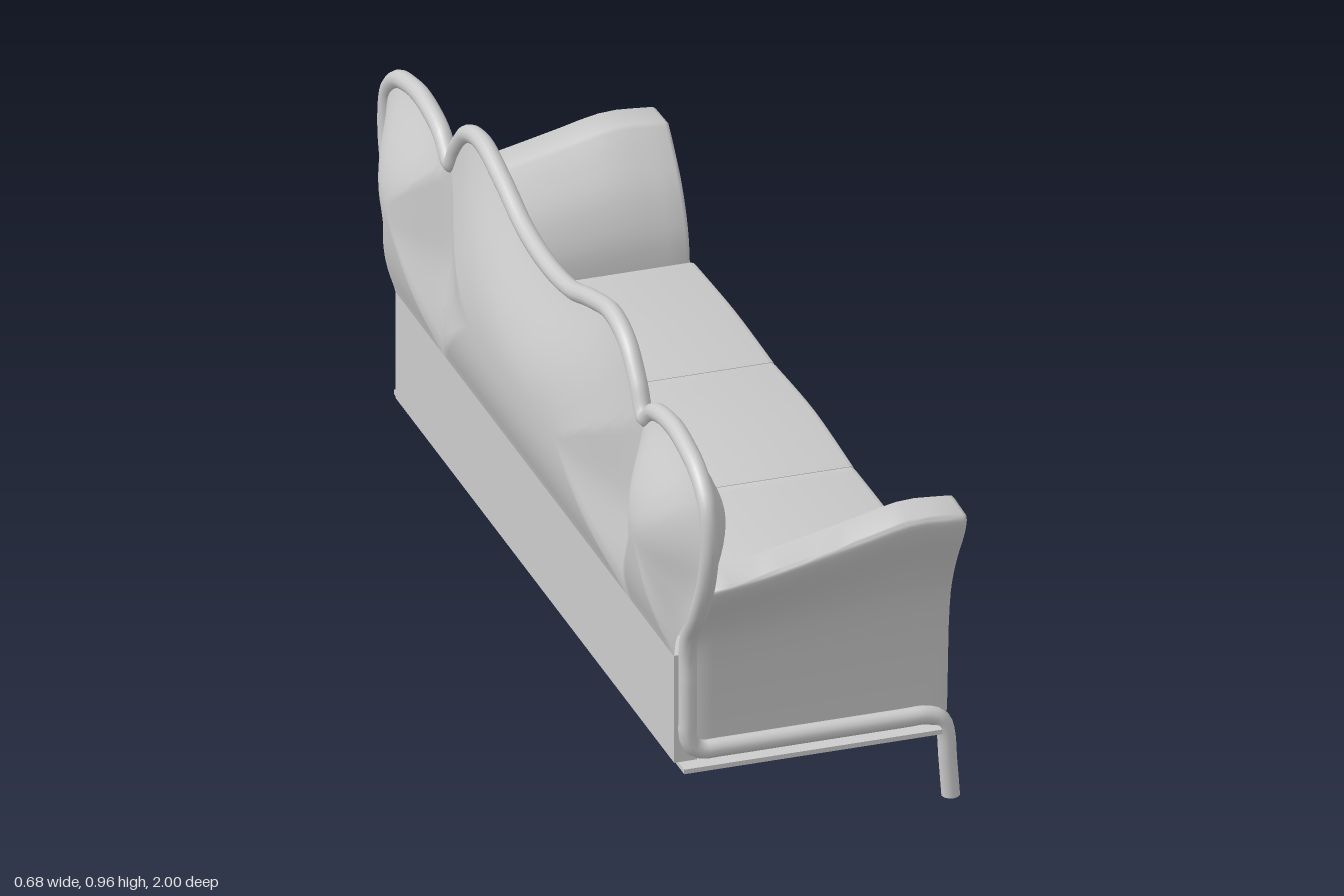
import * as THREE from 'three';
import { toCreasedNormals } from 'three/addons/utils/BufferGeometryUtils.js';
import { RoundedBoxGeometry } from 'three/addons/geometries/RoundedBoxGeometry.js';

const material = new THREE.MeshStandardMaterial({ color: 0xcccccc });
const SHIFT = -0.008; // upholstery sits slightly off the frame's centre
const V2 = (a) => new THREE.Vector2(a[0], a[1]);
const spline = (pts, n) => new THREE.SplineCurve(pts.map(V2)).getPoints(n);
const line = (a, b, n) => Array.from({ length: n }, (_, i) => V2(a).lerp(V2(b), (i + 1) / (n + 1)));

// Crest outline as [z, y]: side lobe from the post up to the notch, then the middle crest to the centre
const SIDE = [[0.845, 0.4], [0.86, 0.45], [0.91, 0.52], [0.958, 0.61], [0.979, 0.7], [0.965, 0.785],
  [0.91, 0.835], [0.84, 0.857], [0.76, 0.866], [0.65, 0.845], [0.588, 0.803]];
const CREST = [[0.588, 0.803], [0.545, 0.86], [0.485, 0.917], [0.396, 0.94], [0.27, 0.913], [0.14, 0.873], [0, 0.86]];
const mirror = (pts) => pts.map(([z, y]) => [-z, y]).reverse();

function add(group, name, geometry) {
  const mesh = new THREE.Mesh(geometry, material);
  mesh.name = name;
  group.add(mesh);
  return mesh;
}

// Extrude a [z, y] outline along x, with rounded edges that keep the outer size
function extrudeX(points, x0, x1, bevel, steps) {
  const g = new THREE.ExtrudeGeometry(new THREE.Shape(points.map((p) => new THREE.Vector2(-p.x, p.y))), {
    depth: x1 - x0 - 2 * bevel, steps, bevelEnabled: true, bevelSize: bevel,
    bevelThickness: bevel, bevelOffset: -bevel, bevelSegments: 3,
  });
  g.translate(0, 0, x0 + bevel);
  return g.rotateY(Math.PI / 2);
}

// Two-sided pillow: rings of the outline shrink to a core line (centre plus spread * z) while swelling
function pillow(outline, centre, spread, front, back) {
  const rings = 14, n = outline.length, pos = [], index = [];
  for (const side of [1, -1]) {
    const base = pos.length / 3;
    for (let r = 0; r <= rings; r++) {
      const s = r / rings, dome = 1 - s * s;
      const swell = 0.45 * dome + 0.55 * dome * dome;
      for (const p of outline) {
        const core = centre[0] + spread * (p.x - centre[0]);
        const z = core + s * (p.x - core);
        const y = centre[1] + s * (p.y - centre[1]);
        const rim = side > 0 ? -0.242 : -0.258 - 0.026 * (1 - THREE.MathUtils.smoothstep(y, 0.43, 0.62));
        pos.push(rim + (side > 0 ? front : -back) * swell, y, z);
      }
    }
    for (let r = 0; r < rings; r++) {
      for (let i = 0; i < n; i++) {
        const j = (i + 1) % n;
        const a = base + r * n + i, b = base + r * n + j, c = a + n, d = b + n;
        if (side > 0) index.push(a, d, c, a, b, d);
        else index.push(a, c, d, a, d, b);
      }
    }
  }
  const g = new THREE.BufferGeometry();
  g.setAttribute('position', new THREE.Float32BufferAttribute(pos, 3));
  g.setIndex(index);
  return toCreasedNormals(g, 0.9);
}

// One continuous bent tube: foot, side rail, post, crest and down again
function frameTube() {
  const half = [[0.294, 0, 0.845], [0.288, 0.08, 0.845], [0.282, 0.15, 0.845], [0.27, 0.174, 0.845],
    [0.24, 0.185, 0.845], [0.2, 0.185, 0.845], [0, 0.185, 0.845], [-0.19, 0.185, 0.845], [-0.228, 0.186, 0.845],
    [-0.248, 0.2, 0.845], [-0.256, 0.225, 0.845], [-0.256, 0.26, 0.845], [-0.256, 0.33, 0.845],
    ...[...SIDE, ...CREST.slice(1)].map(([z, y]) => [-0.256, y, z])];
  const all = [...half, ...half.slice(0, -1).reverse().map(([x, y, z]) => [x, y, -z])];
  const curve = new THREE.CatmullRomCurve3(all.map((p) => new THREE.Vector3(...p)));
  curve.arcLengthDivisions = 1200;
  const g = new THREE.TubeGeometry(curve, 360, 0.019, 12);
  const p = g.attributes.position;
  for (let i = 0; i < p.count; i++) if (p.getY(i) < 0) p.setY(i, 0);
  return g;
}

// Flared arm: the top sweeps down toward the back
function arm(sign) {
  const inner = spline([[0.729, 0.36], [0.732, 0.43], [0.744, 0.495], [0.778, 0.57], [0.828, 0.634], [0.864, 0.672]], 18);
  const outer = spline([[0.942, 0.668], [0.948, 0.652], [0.932, 0.61], [0.885, 0.53], [0.852, 0.45], [0.838, 0.36]], 16);
  const outline = [V2([0.728, 0.17]), ...inner, ...outer, V2([0.828, 0.17])];
  const g = extrudeX(outline.map((p) => new THREE.Vector2(sign * p.x + SHIFT, p.y)), -0.245, 0.298, 0.01, 14);
  const top = new THREE.SplineCurve([[-0.245, 0.588], [-0.13, 0.602], [-0.02, 0.625], [0.09, 0.65], [0.19, 0.674], [0.298, 0.668]].map(V2));
  const p = g.attributes.position;
  for (let i = 0; i < p.count; i++) {
    const y = p.getY(i), t = THREE.MathUtils.clamp((p.getX(i) + 0.245) / 0.543, 0, 1);
    if (y > 0.36) p.setY(i, 0.36 + (y - 0.36) * (top.getPoint(t).y - 0.36) / 0.312);
  }
  return toCreasedNormals(g, 0.9);
}

// Seat cushion with a gently crowned top
function cushion(z0, z1, edge0, edge1, peak) {
  const crown = spline([[z0, edge0], [(z0 + z1) / 2, peak], [z1, edge1]], 12);
  return toCreasedNormals(extrudeX([V2([z0, 0.285]), ...crown, V2([z1, 0.285])], -0.22, 0.304, 0.012, 1), 0.7);
}

export function createModel() {
  const sofa = new THREE.Group();
  sofa.name = 'sofa';

  add(sofa, 'tubeFrame', frameTube());
  for (const s of [1, -1]) {
    const side = s > 0 ? 'Left' : 'Right';
    const cap = add(sofa, 'footCap' + side, new THREE.CircleGeometry(0.019, 12).rotateX(Math.PI / 2));
    cap.position.set(0.294, 0.0005, s * 0.845);
    add(sofa, 'arm' + side, arm(s));
  }

  // Base plate and seat rail
  add(sofa, 'basePlate', new THREE.BoxGeometry(0.54, 0.01, 1.76)).position.set(-0.005, 0.16, 0);
  add(sofa, 'seatRail', new RoundedBoxGeometry(0.57, 0.117, 1.455, 5, 0.042)).position.set(0.056, 0.237, SHIFT);

  // Three seat cushions
  add(sofa, 'cushionLeft', cushion(0.239, 0.717, 0.435, 0.426, 0.438));
  add(sofa, 'cushionMiddle', cushion(-0.243, 0.237, 0.435, 0.435, 0.448));
  add(sofa, 'cushionRight', cushion(-0.727, -0.245, 0.426, 0.435, 0.438));

  // Flat lower back
  add(sofa, 'lowerBack', new THREE.BoxGeometry(0.048, 0.237, 1.69)).position.set(-0.26, 0.2835, 0);

  // Padded back in three lobes
  const crest = [...CREST, ...mirror(CREST).slice(1)];
  const low = 0.4, seam = 0.56;
  const middle = [V2([seam, low]), ...line([seam, low], CREST[0], 10), ...spline(crest, 60),
    ...line([-0.588, 0.803], [-seam, low], 10), V2([-seam, low]), ...line([-seam, low], [seam, low], 40)];
  add(sofa, 'backMiddle', pillow(middle, [0, 0.62], 0.45, 0.077, 0.075));

  const lobe = [...spline(SIDE, 40), ...line(SIDE[10], [seam, low], 12), V2([seam, low]), ...line([seam, low], SIDE[0], 10)];
  const lobeMirror = lobe.map((p) => new THREE.Vector2(-p.x, p.y)).reverse();
  add(sofa, 'backLeft', pillow(lobe, [0.75, 0.645], 0, 0.086, 0.082));
  add(sofa, 'backRight', pillow(lobeMirror, [-0.75, 0.645], 0, 0.086, 0.082));
  return sofa;
}
